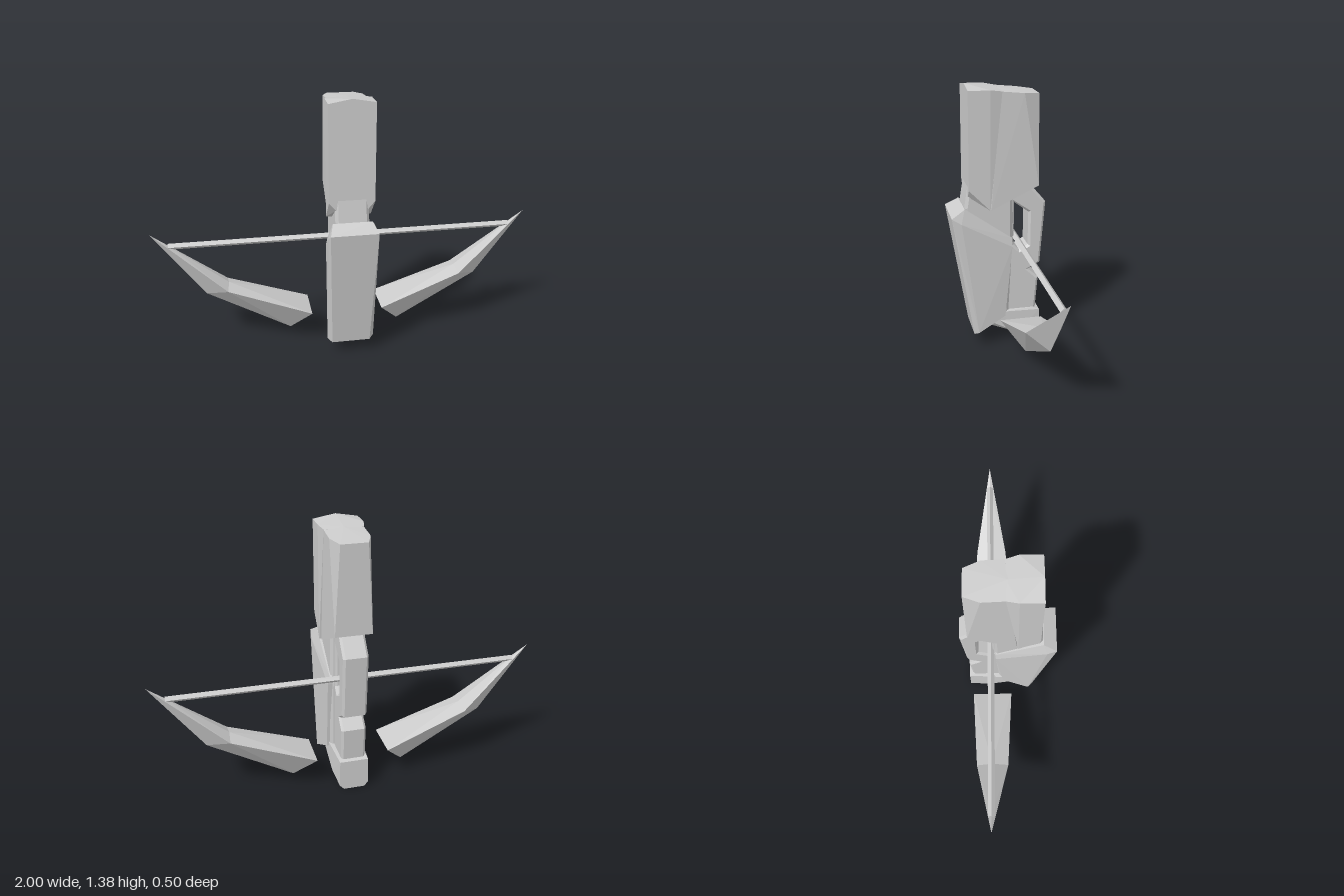
import * as THREE from 'three';
import { ConvexGeometry } from 'three/addons/geometries/ConvexGeometry.js';

const material = new THREE.MeshStandardMaterial({ color: 0xcccccc, flatShading: true });

function mesh(name, geometry) {
  const m = new THREE.Mesh(geometry, material);
  m.name = name;
  return m;
}

// Faceted solid around points given as [x, y, z]
function hull(name, points) {
  return mesh(name, new ConvexGeometry(points.map((p) => new THREE.Vector3(...p))));
}

// Faceted solid from [halfWidth, y, z] points mirrored left and right
function mirroredHull(name, points) {
  return hull(name, points.flatMap(([w, y, z]) => (w === 0 ? [[0, y, z]] : [[w, y, z], [-w, y, z]])));
}

// Side profile of [z, y] points, extruded across x with chamfered edges
function sidePlate(name, outline, halfWidth, bevel, hole) {
  const toPoints = (list) => list.map(([z, y]) => new THREE.Vector2(z, y));
  const shape = new THREE.Shape(toPoints(outline));
  if (hole) shape.holes.push(new THREE.Path(toPoints(hole)));
  const depth = 2 * (halfWidth - bevel);
  const g = new THREE.ExtrudeGeometry(shape, {
    depth, bevelEnabled: true, bevelThickness: bevel, bevelSize: bevel, bevelOffset: -bevel, bevelSegments: 1,
  });
  g.translate(0, 0, -depth / 2);
  g.rotateY(-Math.PI / 2);
  return mesh(name, g);
}

// Swept limb: two tapering sections that meet at the bend
function limb(name, side) {
  const group = new THREE.Group();
  group.name = name;
  const root = [[0.19, 0.185, 0.018], [0.19, 0.185, -0.197], [0.3, 0.055, -0.09]];
  const bend = [[0.625, 0.345, -0.005], [0.625, 0.345, -0.172], [0.62, 0.362, -0.09], [0.738, 0.303, -0.09]];
  const tip = [[1, 0.66, -0.09], [0.9, 0.585, -0.09]];
  const flip = (list) => list.map(([x, y, z]) => [x * side, y, z]);
  group.add(hull('innerLimb', flip([...root, ...bend])), hull('outerLimb', flip([...bend, ...tip])));
  return group;
}

export function createModel() {
  const model = new THREE.Group();
  model.name = 'crossbow';

  // Upper block: front half and chamfered rear half
  model.add(mirroredHull('headFront', [
    [0, 1.38, 0.16], [0.115, 1.36, 0.16], [0.115, 1.36, 0.05], [0.1, 1.35, -0.01], [0, 1.355, -0.01],
    [0.115, 0.87, 0.16], [0.08, 0.83, 0.16], [0.115, 0.76, 0.052], [0.08, 0.755, 0.05],
  ]));
  model.add(mirroredHull('headRear', [
    [0, 1.357, 0], [0.1, 1.35, 0], [0.1, 1.338, -0.12], [0.068, 1.33, -0.2],
    [0.105, 0.757, 0.045], [0.095, 0.87, -0.2],
  ]));

  // Neck and spine joining head, foregrip and handle
  model.add(sidePlate('spine', [
    [0.16, 0.88], [0.178, 0.765], [0.08, 0.4], [0.03, 0.13], [-0.05, 0.13], [-0.07, 0.55], [-0.07, 0.88],
  ], 0.085, 0.015));

  // Foregrip wedge
  model.add(mirroredHull('foregrip', [
    [0.12, 0.73, 0.248], [0.1, 0.77, 0.18], [0.125, 0.7, 0.2],
    [0.1, 0.07, 0.137], [0.123, 0.085, 0.115],
    [0.1, 0.55, -0.065], [0.09, 0.595, -0.065], [0.1, 0.16, -0.03],
  ]));

  // Rear handle with finger opening and notch
  model.add(sidePlate('handle', [
    [0.02, 0.9], [-0.165, 0.865], [-0.247, 0.77], [-0.222, 0.435], [-0.16, 0.4], [-0.215, 0.35],
    [-0.2, 0.15], [0, 0.13],
  ], 0.065, 0.012, [
    [-0.082, 0.777], [-0.082, 0.545], [-0.11, 0.515], [-0.157, 0.54], [-0.157, 0.72],
  ]));

  // Foot below the handle
  model.add(mirroredHull('foot', [
    [0.055, 0, -0.22], [0.078, 0.025, -0.22], [0.075, 0.167, -0.22], [0.07, 0.18, -0.185],
    [0.075, 0.108, 0.058], [0.095, 0.125, 0.04], [0.09, 0.18, -0.01], [0.09, 0.05, -0.1],
  ]));

  // Limbs and the string between them
  model.add(limb('leftLimb', 1), limb('rightLimb', -1));
  const string = new THREE.CylinderGeometry(0.017, 0.017, 1.83, 4, 1);
  string.rotateZ(Math.PI / 2);
  string.translate(0, 0.59, -0.09);
  model.add(mesh('string', string));

  return model;
}
